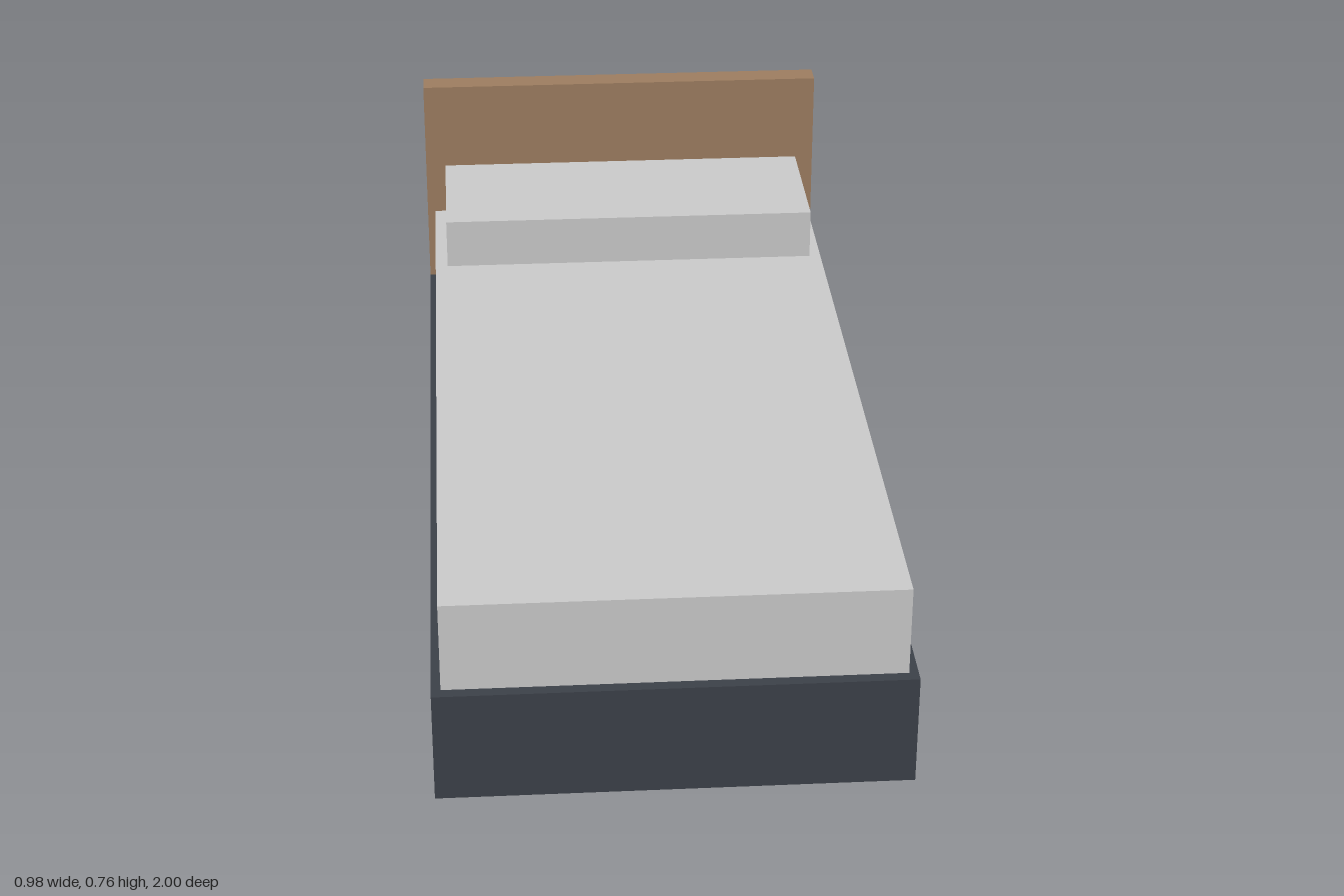
import * as THREE from 'three';

const material = (name, color) => {
  const m = new THREE.MeshStandardMaterial({ color });
  m.name = name;
  return m;
};

export function createModel() {
  const bed = new THREE.Group();
  bed.name = 'bed';
  const slate = material('slate', 0x3c4149);
  const linen = material('linen', 0xcacaca);
  const wood = material('wood', 0x9d7d60);

  // Box centred on x, given its width and its y and z ranges
  const addBox = (name, mat, width, [y0, y1], [z0, z1]) => {
    const mesh = new THREE.Mesh(new THREE.BoxGeometry(width, y1 - y0, z1 - z0), mat);
    mesh.position.set(0, (y0 + y1) / 2, (z0 + z1) / 2);
    mesh.name = name;
    bed.add(mesh);
  };

  addBox('base', slate, 0.984, [0, 0.247], [-0.97, 1]);
  addBox('mattress', linen, 0.945, [0.247, 0.445], [-0.9, 0.975]);
  // The pillow sits just clear of the mattress
  addBox('pillow', linen, 0.886, [0.455, 0.572], [-0.895, -0.552]);
  // The headboard overlaps the back of the base
  addBox('headboard', wood, 0.984, [0.225, 0.765], [-1, -0.94]);

  return bed;
}
